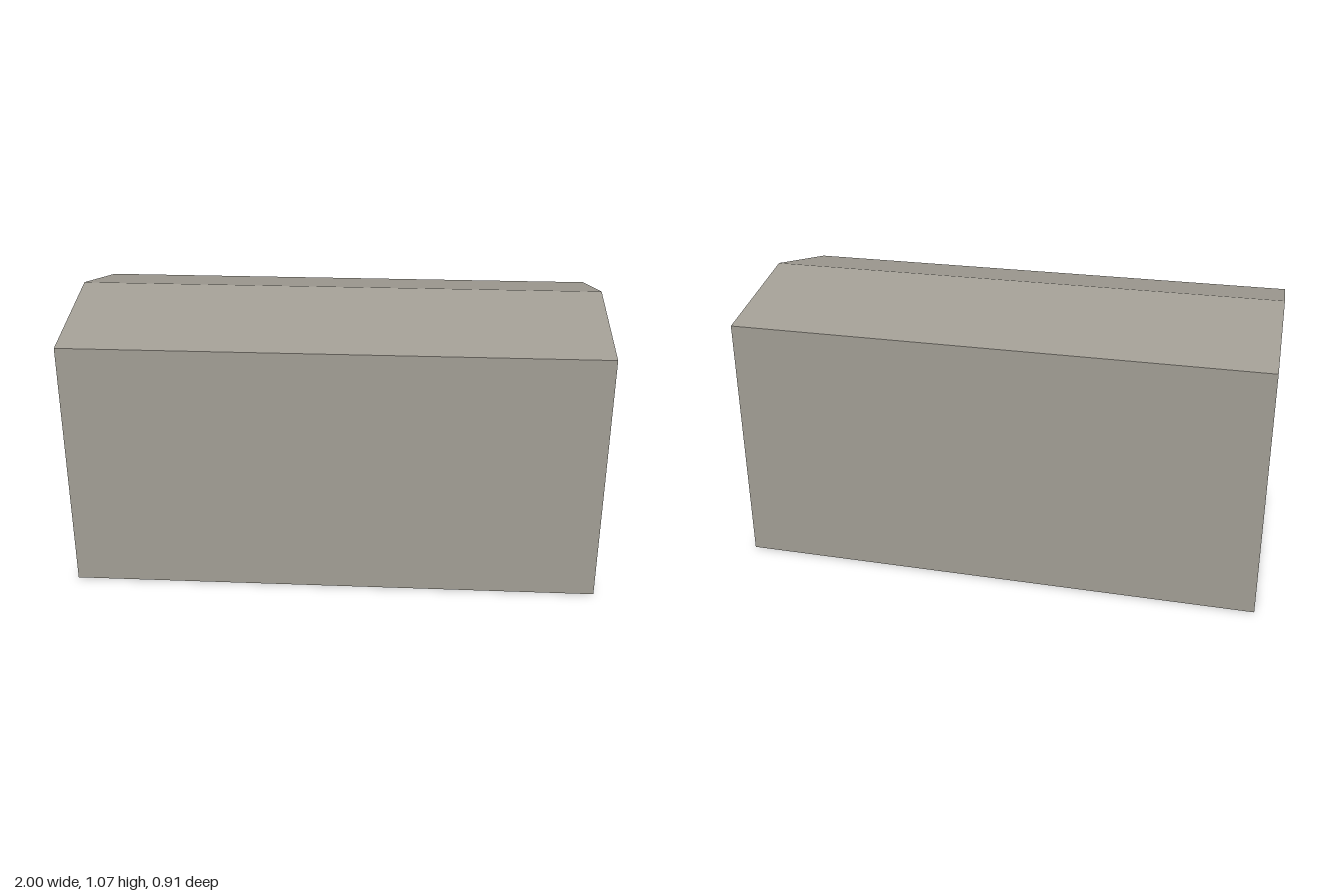
import * as THREE from 'three';

const LENGTH = 2, HALF_DEPTH = 0.453, EAVE = 0.96, RIDGE = 1.065;

export function createModel() {
  const model = new THREE.Group();
  model.name = 'gabledShed';
  const concrete = new THREE.MeshStandardMaterial({ color: 0xa09c93, side: THREE.DoubleSide });
  concrete.name = 'warm grey';

  const add = (name, geometry, parent) => {
    const mesh = new THREE.Mesh(geometry, concrete);
    mesh.name = name;
    parent.add(mesh);
    return mesh;
  };

  // Gable outline, shared by both end walls
  const gable = new THREE.Shape([
    new THREE.Vector2(-HALF_DEPTH, 0),
    new THREE.Vector2(HALF_DEPTH, 0),
    new THREE.Vector2(HALF_DEPTH, EAVE),
    new THREE.Vector2(0, RIDGE),
    new THREE.Vector2(-HALF_DEPTH, EAVE),
  ]);

  const rise = RIDGE - EAVE;
  const slope = Math.hypot(HALF_DEPTH, rise);
  const pitch = Math.atan2(rise, HALF_DEPTH);

  // Each half turn adds one long wall, one roof slope and one end wall; the floor is open
  for (const [i, side] of ['front', 'back'].entries()) {
    const half = new THREE.Group();
    half.name = side + 'Half';
    half.rotation.y = i * Math.PI;
    model.add(half);

    add(side + 'Wall', new THREE.PlaneGeometry(LENGTH, EAVE), half)
      .position.set(0, EAVE / 2, HALF_DEPTH);

    const roof = add(side + 'RoofSlope', new THREE.PlaneGeometry(LENGTH, slope), half);
    roof.rotation.x = pitch - Math.PI / 2;
    roof.position.set(0, (EAVE + RIDGE) / 2, HALF_DEPTH / 2);

    const end = add(i === 0 ? 'leftEndWall' : 'rightEndWall', new THREE.ShapeGeometry(gable), half);
    end.rotation.y = Math.PI / 2;
    end.position.x = LENGTH / 2;
  }
  return model;
}
